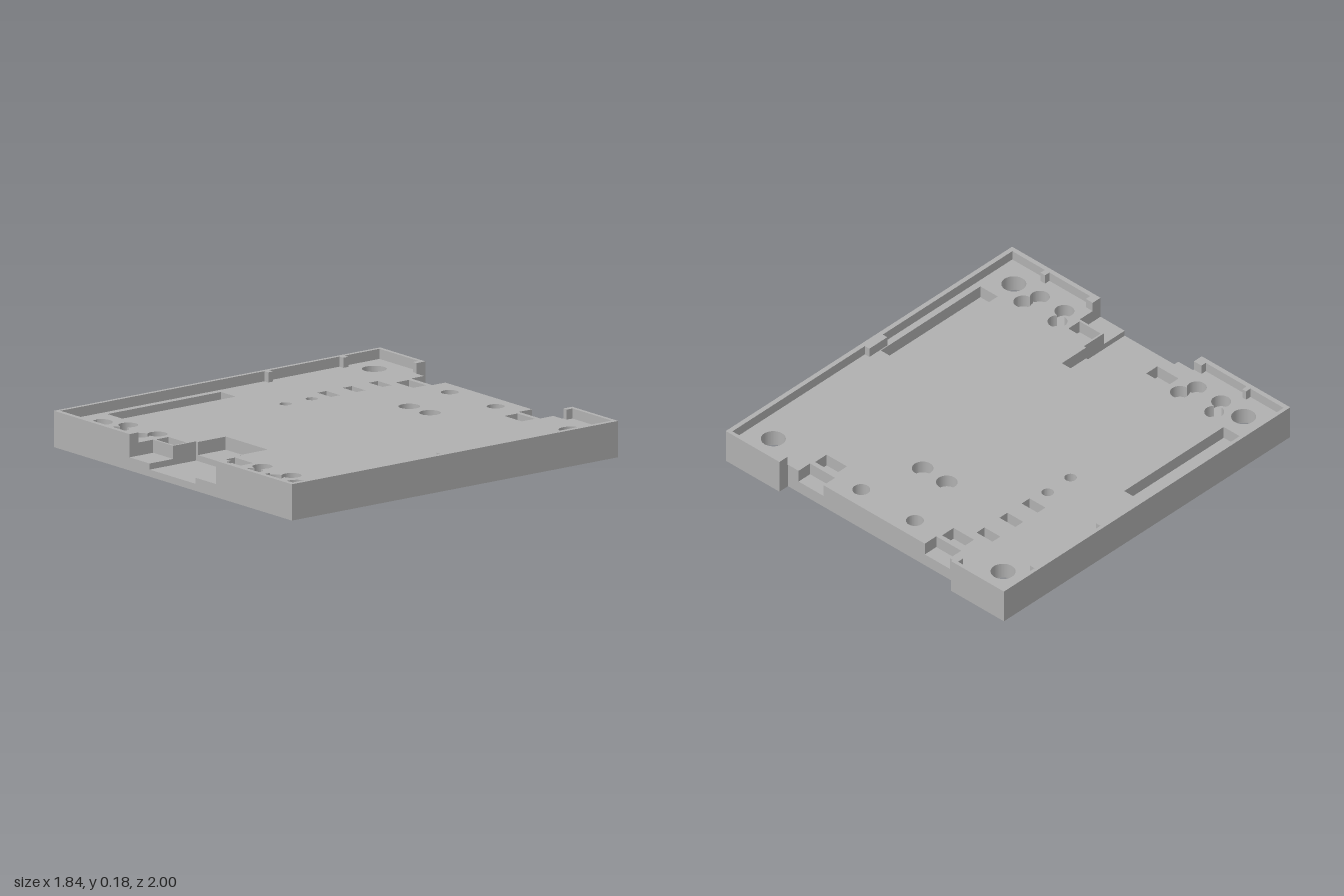
import * as THREE from 'three';

const W = 0.92;
const Y = { notch: 0.035, bore: 0.05, pocket: 0.065, floor: 0.13, top: 0.18 };
const SCREWS = [[-0.763, -0.84], [0.757, -0.84], [-0.763, 0.84], [0.757, 0.84]];

const poly = (pts) => pts.map(([x, z]) => new THREE.Vector2(x, z));
const rect = (x0, x1, z0, z1) => new THREE.Path(poly([[x0, z0], [x1, z0], [x1, z1], [x0, z1]]));

function circle(x, z, r) {
  const p = new THREE.Path();
  p.absarc(x, z, r, 0, Math.PI * 2, false);
  return p;
}

// Outline of two overlapping round pockets
function twin(x0, z0, x1, z1, r) {
  const dir = Math.atan2(z1 - z0, x1 - x0);
  const a = Math.acos(Math.hypot(x1 - x0, z1 - z0) / 2 / r);
  const p = new THREE.Path();
  p.absarc(x0, z0, r, dir + a, dir + Math.PI * 2 - a, false);
  p.absarc(x1, z1, r, dir + Math.PI + a, dir + Math.PI * 3 - a, false);
  p.closePath();
  return p;
}

// Plate outline in x and z, with the given cut-outs along the back and front edges
function plateOutline(back, front) {
  return [
    [-W, -1], [-0.57, -1], [-0.57, -0.94], ...back, [0.565, -0.94], [0.565, -1], [W, -1],
    [W, 1], ...front, [-W, 1],
  ];
}

// Horizontal slab between two heights
function slab(outline, holes, y0, y1) {
  const shape = new THREE.Shape(poly(outline));
  shape.holes.push(...holes);
  const g = new THREE.ExtrudeGeometry(shape, { depth: y1 - y0, bevelEnabled: false, curveSegments: 32 });
  g.rotateX(Math.PI / 2);
  g.translate(0, y1, 0);
  return g;
}

export function createModel() {
  const group = new THREE.Group();
  const grey = new THREE.MeshStandardMaterial({ color: 0xb0b0b0 });
  grey.name = 'grey plastic';
  const add = (name, geometry) => {
    const mesh = new THREE.Mesh(geometry, grey);
    mesh.name = name;
    group.add(mesh);
  };

  const screwHoles = () => SCREWS.map(([x, z]) => circle(x, z, 0.06));
  const counterbores = () => SCREWS.map(([x, z]) => circle(x, z, 0.12));
  const notch = [[0.175, 1], [0.175, 0.715], [-0.18, 0.715], [-0.18, 1]];

  // Underside with counterbored screw holes
  add('bottomPlate', slab(plateOutline([], []), counterbores(), 0, Y.notch));
  add('counterborePlate', slab(plateOutline([], notch), counterbores(), Y.notch, Y.bore));
  add('pocketFloorPlate', slab(plateOutline([], notch), screwHoles(), Y.bore, Y.pocket));

  // Floor plate with all the component pockets
  const backCuts = [
    [-0.505, -0.94], [-0.505, -0.86], [-0.34, -0.86], [-0.34, -0.94],
    [0.33, -0.94], [0.33, -0.86], [0.495, -0.86], [0.495, -0.94],
  ];
  const frontCuts = [
    [0.335, 1], [0.335, 0.855], [0.175, 0.855], [0.175, 0.715], [0.16, 0.715], [0.16, 0.545],
    [-0.165, 0.545], [-0.165, 0.715], [-0.18, 0.715], [-0.18, 0.855], [-0.335, 0.855], [-0.335, 1],
  ];
  const pockets = [
    // long side slots
    rect(-0.865, -0.75, 0.02, 0.715), rect(0.745, 0.86, 0.02, 0.715),
    // front and back rectangles
    rect(-0.33, -0.19, 0.765, 0.843), rect(0.185, 0.325, 0.765, 0.843),
    rect(-0.49, -0.355, -0.835, -0.755), rect(0.35, 0.485, -0.835, -0.755),
    // round pockets
    circle(-0.18, -0.84, 0.043), circle(0.175, -0.84, 0.043),
    circle(-0.083, -0.515, 0.052), circle(0.077, -0.515, 0.052),
    circle(-0.49, -0.24, 0.03), circle(-0.49, -0.08, 0.03),
    // paired pockets
    twin(-0.635, 0.77, -0.603, 0.852, 0.048), twin(-0.408, 0.77, -0.442, 0.852, 0.048),
    twin(0.402, 0.77, 0.434, 0.852, 0.048), twin(0.628, 0.77, 0.596, 0.852, 0.048),
  ];
  for (const z of [-0.705, -0.545, -0.39]) pockets.push(rect(-0.565, -0.46, z, z + 0.055));
  add('floorPlate', slab(plateOutline(backCuts, frontCuts), [...screwHoles(), ...pockets], Y.pocket, Y.floor));

  // Rim walls with small locating tabs
  const leftRim = [
    [0.565, -1], [W, -1], [W, 1], [0.335, 1], [0.335, 0.945], [0.38, 0.945], [0.38, 0.975],
    [0.65, 0.975], [0.65, 0.945], [0.68, 0.945], [0.68, 0.975], [0.895, 0.975],
    [0.895, 0.07], [0.865, 0.07], [0.865, -0.055], [0.895, -0.055],
    [0.895, -0.98], [0.592, -0.98], [0.592, -0.945], [0.565, -0.945],
  ];
  const rightRim = [
    [-0.57, -1], [-W, -1], [-W, 1], [-0.335, 1], [-0.335, 0.945], [-0.385, 0.945], [-0.385, 0.975],
    [-0.655, 0.975], [-0.655, 0.945], [-0.68, 0.945], [-0.68, 0.975], [-0.9, 0.975],
    [-0.9, -0.275], [-0.87, -0.275], [-0.87, -0.305], [-0.9, -0.305],
    [-0.9, -0.735], [-0.87, -0.735], [-0.87, -0.765], [-0.9, -0.765],
    [-0.9, -0.98], [-0.598, -0.98], [-0.598, -0.945], [-0.57, -0.945],
  ];
  add('leftRim', slab(leftRim, [], Y.floor, Y.top));
  add('rightRim', slab(rightRim, [], Y.floor, Y.top));
  return group;
}
